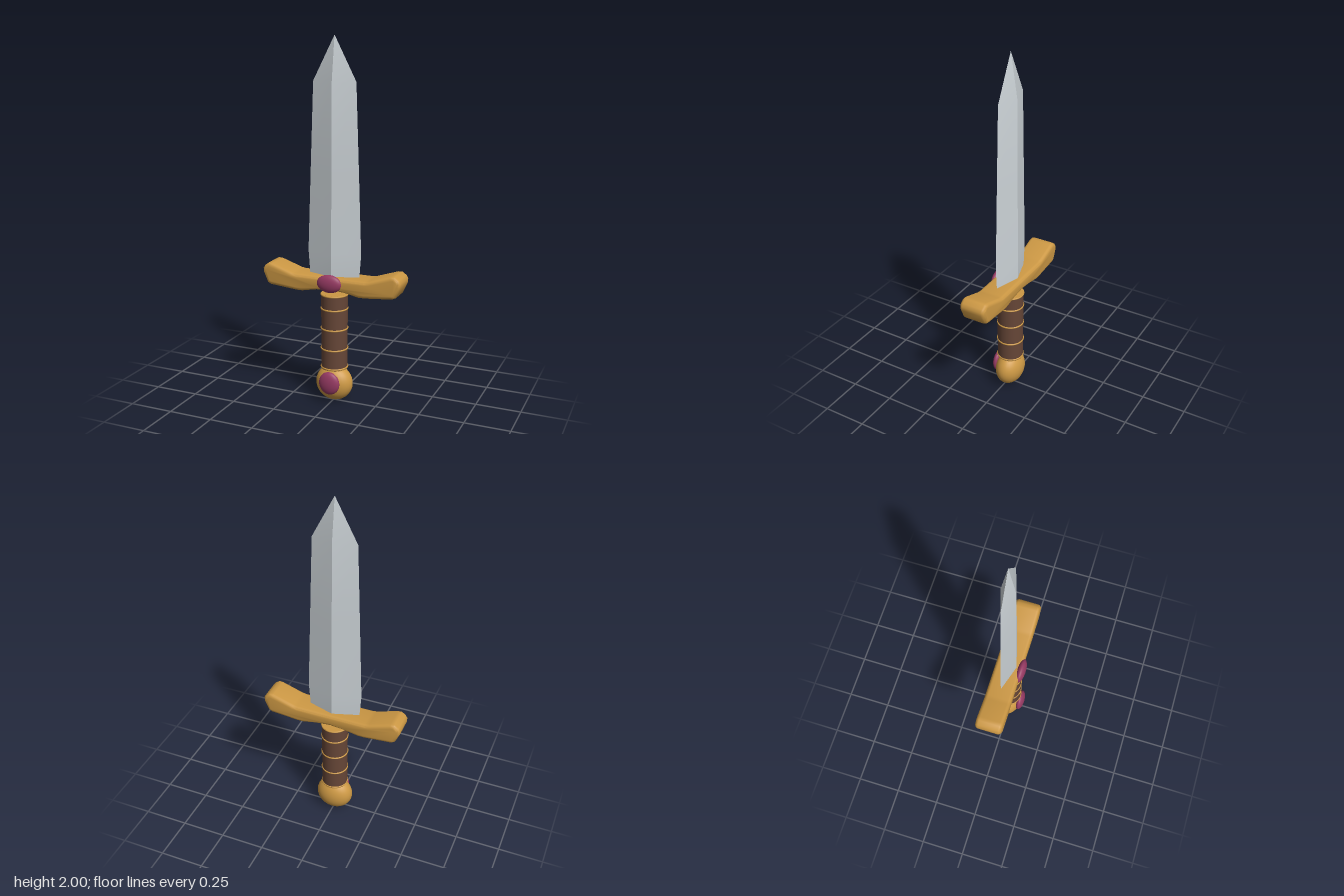
import * as THREE from 'three';
import { toCreasedNormals } from 'three/addons/utils/BufferGeometryUtils.js';

const AXIS_Z = -0.012; // the gems stand proud of the front, so the body sits slightly back

function flat(name, color) {
  const m = new THREE.MeshStandardMaterial({ color });
  m.name = name;
  return m;
}

// Diamond cross-sections [y, half width, half thickness] joined into a ridged blade
function bladeGeometry(sections) {
  const rings = sections.map(([y, w, t]) => [
    [w, y, 0], [0, y, t], [-w, y, 0], [0, y, -t],
  ]);
  const pos = [];
  for (let r = 0; r < rings.length - 1; r++) {
    for (let i = 0; i < 4; i++) {
      const j = (i + 1) % 4;
      const a = rings[r][i], b = rings[r][j], c = rings[r + 1][i], d = rings[r + 1][j];
      pos.push(...a, ...c, ...b, ...b, ...c, ...d);
    }
  }
  const g = new THREE.BufferGeometry();
  g.setAttribute('position', new THREE.Float32BufferAttribute(pos, 3));
  return toCreasedNormals(g, 0.4);
}

// Upturned crossguard outline, mirrored from its right half
function guardGeometry() {
  const half = [
    [0, 0.656], [0.08, 0.648], [0.165, 0.631], [0.2, 0.631], [0.355, 0.645],
    [0.375, 0.655], [0.4, 0.712], [0.402, 0.735], [0.392, 0.752],
    [0.368, 0.769], [0.345, 0.768], [0.225, 0.728], [0.2, 0.724], [0, 0.724],
  ];
  const left = half.slice(1, -1).reverse().map(([x, y]) => [-x, y]);
  const shape = new THREE.Shape([...half, ...left].map(([x, y]) => new THREE.Vector2(x, y)));
  const bevel = 0.02, depth = 0.152;
  const g = new THREE.ExtrudeGeometry(shape, {
    depth: depth - 2 * bevel, bevelEnabled: true, bevelThickness: bevel,
    bevelSize: bevel, bevelOffset: -bevel, bevelSegments: 4,
  });
  g.translate(0, 0, -depth / 2 + bevel);
  return toCreasedNormals(g, 0.7);
}

export function createModel() {
  const steel = flat('steel', 0xccd3d7);
  const gold = flat('gold', 0xcc9844);
  const leather = flat('brown leather', 0x664637);
  const ruby = flat('dark ruby', 0x963a63);

  const group = new THREE.Group();
  const add = (name, geometry, material, y = 0, z = AXIS_Z) => {
    const mesh = new THREE.Mesh(geometry, material);
    mesh.name = name;
    mesh.position.set(0, y, z);
    group.add(mesh);
    return mesh;
  };
  const ellipsoid = (rx, ry, rz) => new THREE.SphereGeometry(1, 32, 20).scale(rx, ry, rz);

  // Blade
  add('blade', bladeGeometry([
    [0.69, 0.143, 0.042], [0.73, 0.146, 0.046], [0.85, 0.155, 0.046],
    [1.3, 0.139, 0.042], [1.765, 0.122, 0.037], [2, 0.0005, 0.0005],
  ]), steel);

  // Crossguard
  add('crossguard', guardGeometry(), gold);

  // Grip with gold end caps and binding rings
  add('grip', new THREE.CylinderGeometry(0.073, 0.073, 0.425, 32, 1, true), leather, 0.4035);
  for (const y of [0.193, 0.617]) {
    add('gripCap', new THREE.CylinderGeometry(0.073, 0.073, 0.008, 32), gold, y);
  }
  for (const y of [0.198, 0.307, 0.423, 0.537, 0.616]) {
    add('gripRing', new THREE.TorusGeometry(0.0725, 0.005, 8, 32).rotateX(Math.PI / 2), gold, y);
  }

  // Pommel
  add('pommel', ellipsoid(0.106, 0.101, 0.077), gold, 0.101);

  // Gems on the front
  add('guardGem', ellipsoid(0.071, 0.05, 0.026), ruby, 0.692, 0.062);
  add('pommelGem', ellipsoid(0.06, 0.065, 0.026), ruby, 0.119, 0.062);

  return group;
}
